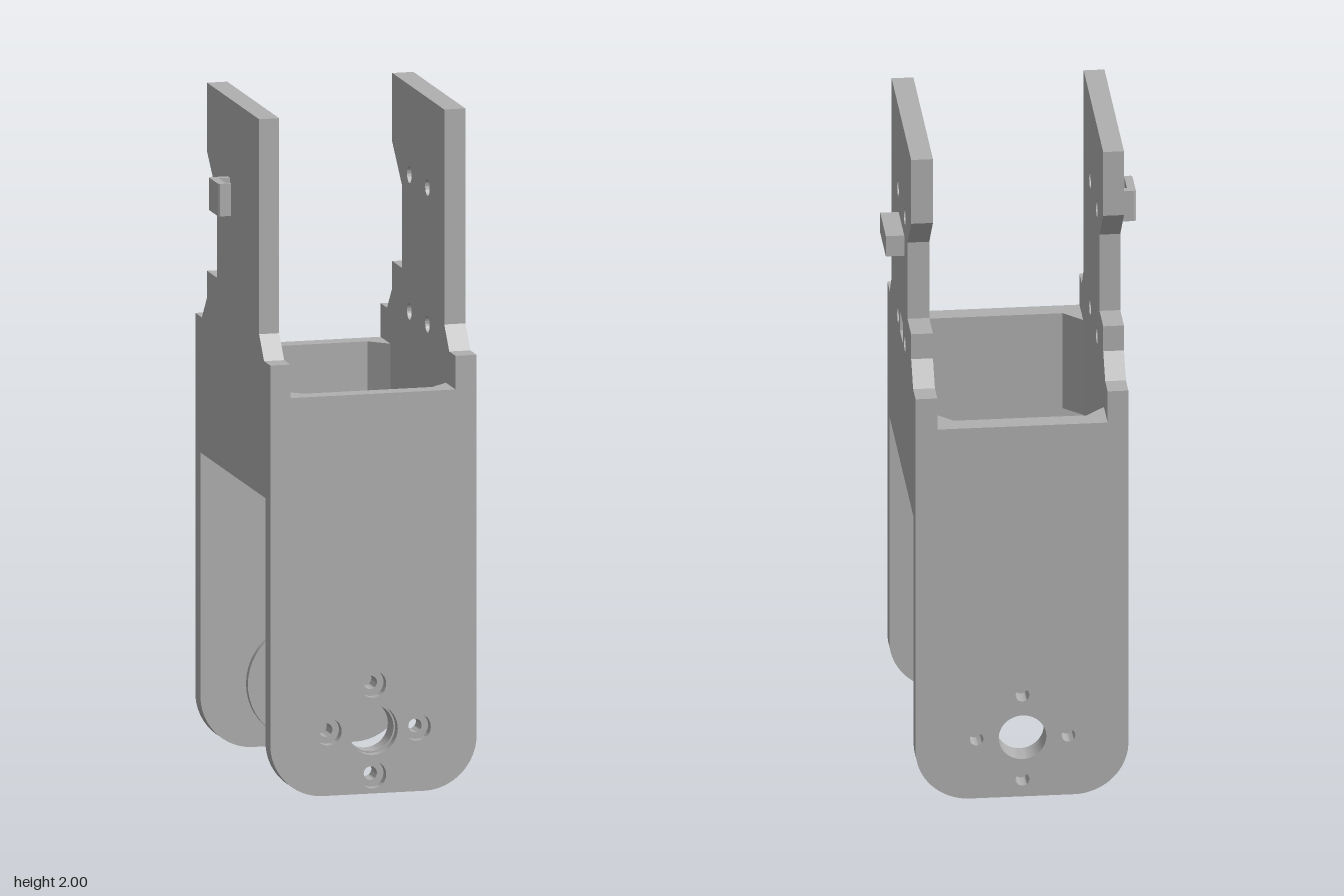
import * as THREE from 'three';
import { toCreasedNormals } from 'three/addons/utils/BufferGeometryUtils.js';

const HUB_Y = 0.19;
const XL = -0.311, XR = 0.314, INNER = 0.25;

// Closed polygon shape from [x, y] pairs
const polygon = (pts) => new THREE.Shape(pts.map(([x, y]) => new THREE.Vector2(x, y)));

function addHole(shape, x, y, r) {
  shape.holes.push(new THREE.Path().absarc(x, y, r, 0, Math.PI * 2, true));
}

function extrude(shape, depth) {
  const g = new THREE.ExtrudeGeometry(shape, { depth, bevelEnabled: false, curveSegments: 24 });
  return toCreasedNormals(g, 0.6);
}

// Centre bore, plus four screw holes when screwR is given
function addHubHoles(shape, boreR, screwR) {
  addHole(shape, 0, HUB_Y, boreR);
  if (!screwR) return;
  for (const [dx, dy] of [[1, 0], [-1, 0], [0, 1], [0, -1]]) {
    addHole(shape, dx * 0.135, HUB_Y + dy * 0.135, screwR);
  }
}

// Upright leg plate: rounded bottom corners, notch in the top edge
function legShape(boreR, screwR) {
  const r = 0.16, s = new THREE.Shape();
  s.moveTo(XL + r, 0);
  s.lineTo(XR - r, 0);
  s.absarc(XR - r, r, r, -Math.PI / 2, 0, false);
  s.lineTo(XR, 1.29);
  s.lineTo(INNER, 1.29);
  s.lineTo(INNER, 1.19);
  s.lineTo(-INNER, 1.19);
  s.lineTo(-INNER, 1.29);
  s.lineTo(XL, 1.29);
  s.lineTo(XL, r);
  s.absarc(XL + r, r, r, Math.PI, Math.PI * 1.5, false);
  addHubHoles(s, boreR, screwR);
  return s;
}

function hubShape(boreR, screwR) {
  const s = new THREE.Shape();
  s.absarc(0, HUB_Y, 0.173, 0, Math.PI * 2, false);
  addHubHoles(s, boreR, screwR);
  return s;
}

// Side wall profile drawn in (z, y)
function wallShape(withHoles, withSlot) {
  const s = polygon([
    [0.36, 0.885], [0.36, 1.29], [0.345, 1.29], [0.29, 1.36], [0.29, 2],
    [-0.287, 2], [-0.287, 1.795], [-0.178, 1.685], [-0.178, 1.44], [-0.287, 1.44],
    [-0.287, 1.36], [-0.345, 1.29], [-0.36, 1.29], [-0.36, 0.885],
  ]);
  if (withHoles) {
    for (const z of [0.103, -0.098]) for (const y of [1.733, 1.326]) addHole(s, z, y, 0.025);
  }
  if (withSlot) {
    s.holes.push(polygon([[0.048, 1.3], [-0.042, 1.3], [-0.042, 1.365], [0.048, 1.365]]));
  }
  return s;
}

export function createModel() {
  const group = new THREE.Group();
  const grey = new THREE.MeshStandardMaterial({ color: 0xb0b0b0 });
  grey.name = 'grey';

  function add(name, geometry) {
    const m = new THREE.Mesh(geometry, grey);
    m.name = name;
    group.add(m);
    return m;
  }
  // Plate standing across z
  const addZ = (name, shape, z0, z1) => add(name, extrude(shape, z1 - z0).translate(0, 0, z0));
  // Plate standing across x
  const addX = (name, shape, x0, x1) =>
    add(name, extrude(shape, x1 - x0).rotateY(-Math.PI / 2).translate(x1, 0, 0));
  // Block lying flat, outline in (x, z)
  const addY = (name, pts, y0, y1) =>
    add(name, extrude(polygon(pts), y1 - y0).rotateX(Math.PI / 2).translate(0, y1, 0));

  // Front leg: counterbored screw holes, hub on the inside
  addZ('frontLegOuter', legShape(0.075, 0.04), 0.385, 0.415);
  addZ('frontLegInner', legShape(0.07, 0.02), 0.36, 0.385);
  addZ('frontHub', hubShape(0.07, 0.02), 0.323, 0.36);

  // Rear leg: blind screw holes from outside
  addZ('rearLeg', legShape(0.07, 0.02), -0.417, -0.36);
  addZ('rearHub', hubShape(0.07), -0.36, -0.34);

  // Side walls in two layers, so holes and slot can be blind
  addX('leftWallOuter', wallShape(true, true), 0.275, XR);
  addX('leftWallInner', wallShape(true, false), INNER, 0.275);
  addX('rightWallInner', wallShape(true, false), -0.275, -INNER);
  addX('rightWallOuter', wallShape(false, false), XL, -0.275);

  // Corner gussets
  for (const sx of [1, -1]) for (const sz of [1, -1]) {
    addY('cornerGusset', [
      [sx * INNER, sz * 0.36], [sx * 0.195, sz * 0.36], [sx * INNER, sz * 0.307],
    ], 0.885, 1.19);
  }

  // Stop block on the left wall
  add('stopBlock', new THREE.BoxGeometry(0.054, 0.065, 0.166).translate(XR + 0.027, 1.632, 0));

  // Cable hook on the right wall
  addY('cableHook', [
    [XL, -0.056], [-0.364, -0.056], [-0.369, -0.051], [-0.369, 0.046], [-0.364, 0.051],
    [-0.331, 0.051], [-0.331, 0.04], [-0.345, 0.04], [-0.345, -0.034], [XL, -0.034],
  ], 1.668, 1.765);

  return group;
}
